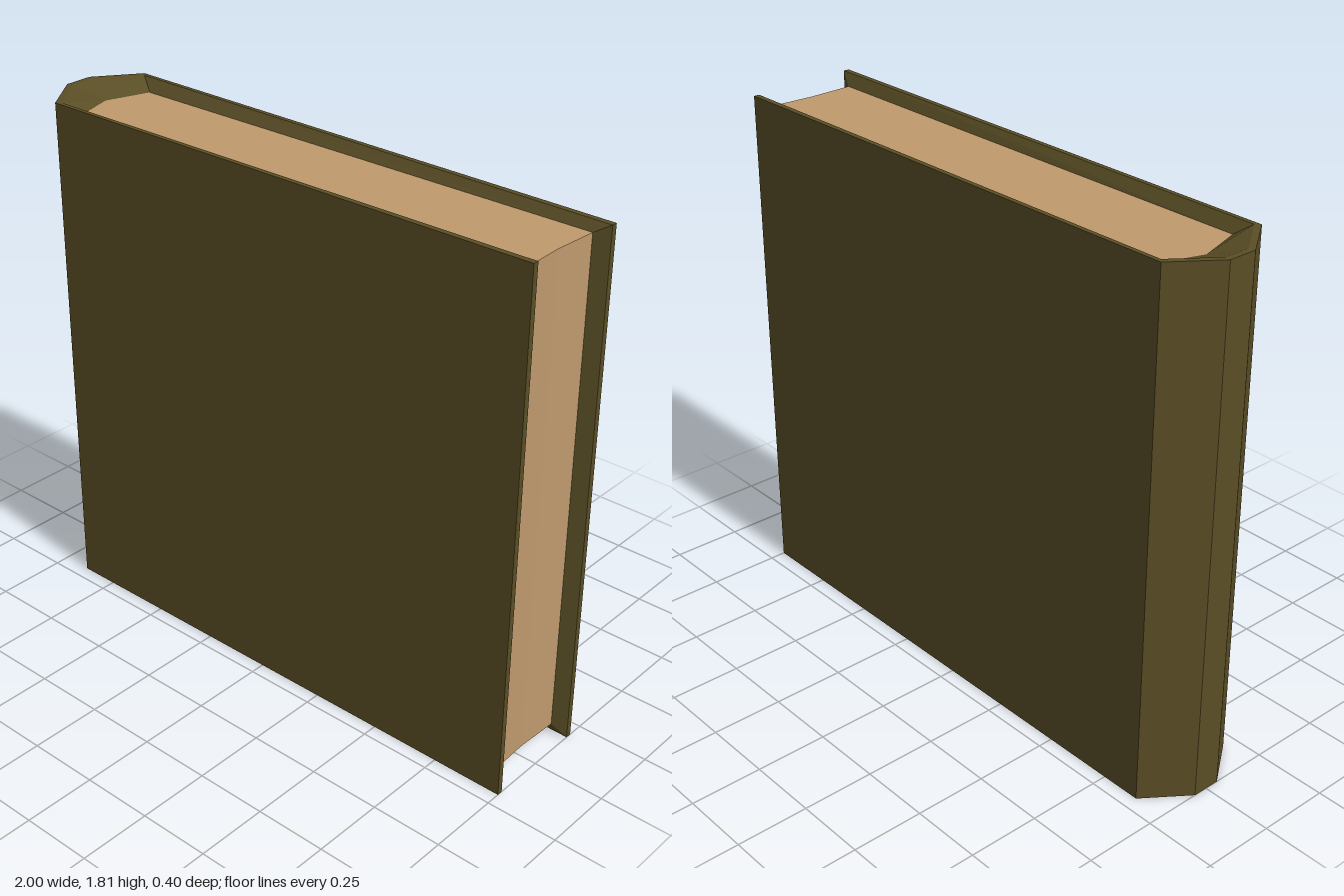
import * as THREE from 'three';

const H = 1.81, PAGE_LOW = 0.04, PAGE_HIGH = 1.77;

// Stations round the cover, fore edge -> spine -> fore edge.
// Each: outer edge, rim and inner edge as [x, z], then the top height.
const stations = [
  { outer: [1, 0.2], rim: [1, 0.18], inner: [0.95, 0.16], top: H },
  { outer: [-0.89, 0.2], rim: [-0.875, 0.185], inner: [-0.82, 0.16], top: H },
  { outer: [-1, 0.05], rim: [-0.98, 0.045], inner: [-0.87, 0], top: H },
  { outer: [-1, -0.05], rim: [-0.98, -0.045], inner: [-0.87, 0], top: H },
  { outer: [-0.89, -0.2], rim: [-0.875, -0.185], inner: [-0.82, -0.155], top: H },
  { outer: [1, -0.195], rim: [1, -0.175], inner: [0.95, -0.155], top: 1.8 },
];

function coverGeometry() {
  const positions = [];
  const quad = (a, b, c, d) => positions.push(...a, ...b, ...c, ...a, ...c, ...d);
  const at = ([x, z], y) => [x, y, z];

  // Profile of each station, from the inner bottom edge out and up to the inner top edge
  const rings = stations.map(({ outer, rim, inner, top }) => [
    at(inner, PAGE_LOW), at(rim, 0), at(outer, 0),
    at(outer, top), at(rim, top), at(inner, PAGE_HIGH),
  ]);

  // Boards, spine and their bevelled top and bottom rims
  for (let i = 0; i < rings.length - 1; i++) {
    const a = rings[i], b = rings[i + 1];
    for (let k = 0; k < 5; k++) quad(a[k], a[k + 1], b[k + 1], b[k]);
  }

  // Fore edges of the two boards, with the bevel down to the pages
  const f = rings[0], r = rings[rings.length - 1];
  quad(f[3], f[2], f[1], f[4]);
  quad(f[4], f[1], f[0], f[5]);
  quad(r[4], r[1], r[2], r[3]);
  quad(r[5], r[0], r[1], r[4]);

  const geometry = new THREE.BufferGeometry();
  geometry.setAttribute('position', new THREE.Float32BufferAttribute(positions, 3));
  geometry.computeVertexNormals();
  return geometry;
}

function pagesGeometry() {
  // Pointed towards the spine, slightly hollow at the fore edge
  const outline = [
    [0.95, -0.16], [0.943, 0], [0.95, 0.155],
    [-0.82, 0.155], [-0.87, 0], [-0.82, -0.16],
  ];
  const shape = new THREE.Shape(outline.map(([x, y]) => new THREE.Vector2(x, y)));
  const geometry = new THREE.ExtrudeGeometry(shape, {
    depth: PAGE_HIGH - PAGE_LOW, bevelEnabled: false,
  });
  return geometry.rotateX(-Math.PI / 2).translate(0, PAGE_LOW, 0);
}

export function createModel() {
  const book = new THREE.Group();
  book.name = 'book';
  const add = (name, geometry, material) => {
    const mesh = new THREE.Mesh(geometry, material);
    mesh.name = name;
    book.add(mesh);
  };
  add('cover', coverGeometry(), new THREE.MeshStandardMaterial({ color: 0x5a4e26, side: THREE.DoubleSide }));
  add('pages', pagesGeometry(), new THREE.MeshStandardMaterial({ color: 0xc09a6e }));
  return book;
}
